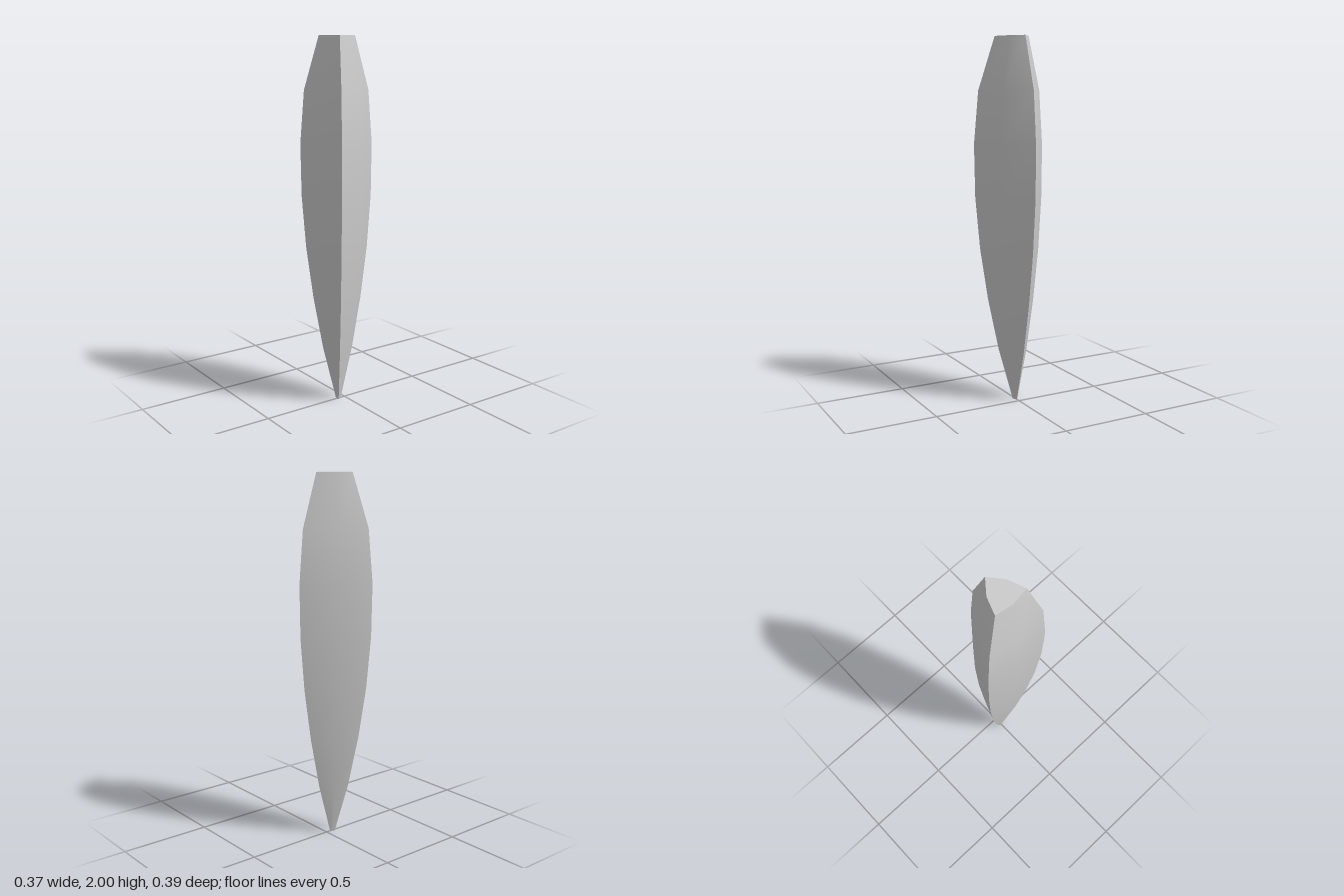
import * as THREE from 'three';
import { toCreasedNormals } from 'three/addons/utils/BufferGeometryUtils.js';

// Cross-section at the widest point, [x, z], running round the y axis
const section = [
  [0.183, 0], [0.031, -0.124], [-0.153, -0.193],
  [-0.184, 0], [-0.153, 0.193], [0.031, 0.124],
];
// Size of the section at evenly spaced heights, from tip to top
const scales = [0.07, 0.42, 0.68, 0.87, 0.98, 1, 0.89, 0.49];
const axisX = -0.041;
const height = 2;

function bladeGeometry() {
  const sides = section.length;
  const last = scales.length - 1;
  const positions = [];
  const index = [];

  scales.forEach((s, level) => {
    for (const [x, z] of section) {
      positions.push(axisX + (x - axisX) * s, (level / last) * height, z * s);
    }
  });

  // Side walls
  for (let level = 0; level < last; level++) {
    for (let i = 0; i < sides; i++) {
      const a = level * sides + i;
      const b = level * sides + ((i + 1) % sides);
      index.push(a, b, b + sides, a, b + sides, a + sides);
    }
  }

  // Flat ends
  const top = last * sides;
  for (let i = 1; i < sides - 1; i++) {
    index.push(top, top + i, top + i + 1);
    index.push(0, i + 1, i);
  }

  const geometry = new THREE.BufferGeometry();
  geometry.setAttribute('position', new THREE.Float32BufferAttribute(positions, 3));
  geometry.setIndex(index);
  // Smooth faces with three sharp lengthwise edges
  return toCreasedNormals(geometry, Math.PI / 6);
}

export function createModel() {
  const group = new THREE.Group();
  group.name = 'taperedSpike';
  const material = new THREE.MeshStandardMaterial({ color: 0xcccccc });
  const blade = new THREE.Mesh(bladeGeometry(), material);
  blade.name = 'spikeBody';
  group.add(blade);
  return group;
}
